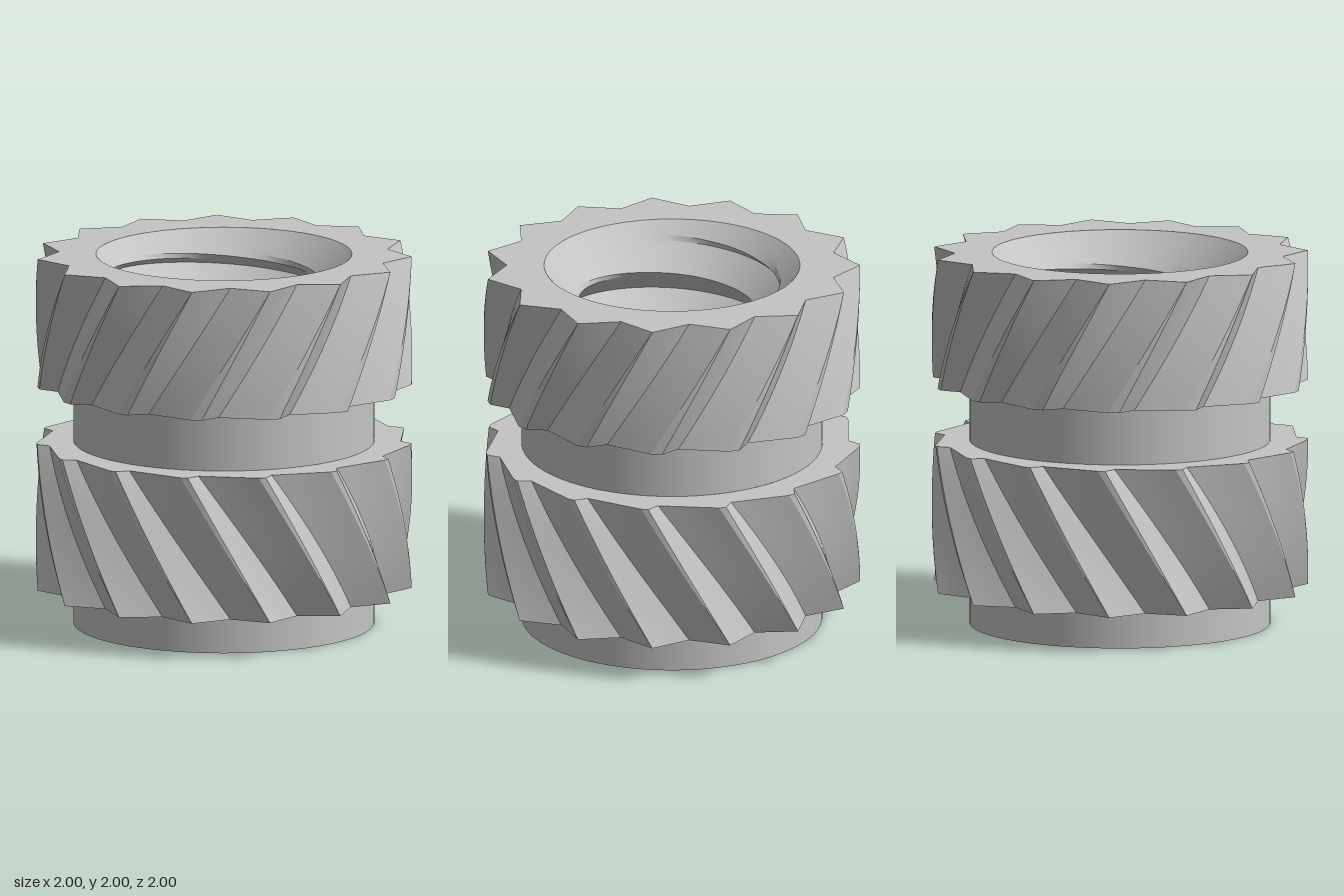
import * as THREE from 'three';
import { toCreasedNormals } from 'three/addons/utils/BufferGeometryUtils.js';

const TEETH = 15;
const rad = THREE.MathUtils.degToRad;
const lerp = THREE.MathUtils.lerp;

// Joins rows of [x, y, z] points into a surface; flip turns it inward
function loft(rows, flip = false) {
  const n = rows[0].length, index = [];
  for (let i = 0; i < rows.length - 1; i++) {
    for (let j = 0; j < n - 1; j++) {
      const a = i * n + j, b = a + 1, d = a + n, c = d + 1;
      if (flip) index.push(a, c, b, a, d, c);
      else index.push(a, b, c, a, c, d);
    }
  }
  const g = new THREE.BufferGeometry();
  g.setAttribute('position', new THREE.Float32BufferAttribute(rows.flat(2), 3));
  g.setIndex(index);
  return toCreasedNormals(g, 0.3);
}

// Outline of the knurl at height y: u = 0 is the full star, u = 1 the shallow end
function knurlOutline(y, u, end) {
  const pts = [];
  for (let k = 0; k <= TEETH; k++) {
    const base = 24 * k;
    const corners = [
      [lerp(-12, end.left, u), 1],
      [lerp(0, end.valley, u), lerp(0.878, end.depth, u)],
      [lerp(12, end.right, u), 1],
    ].map(([deg, r]) => [Math.sin(rad(base + deg)) * r, Math.cos(rad(base + deg)) * r]);
    for (let s = 0; s < 2; s++) {
      for (let m = s; m <= 4; m++) {
        const p = corners[s], q = corners[s + 1];
        pts.push([lerp(p[0], q[0], m / 4), y, lerp(p[1], q[1], m / 4)]);
        if (k === TEETH) return pts; // close the loop on the first point
      }
    }
  }
  return pts;
}

// Moves an outline to a circle, making a flat end face
const toCircle = (pts, r) => pts.map(([x, y, z]) => {
  const l = Math.hypot(x, z);
  return [x / l * r, y, z / l * r];
});

function knurlRing(yStar, yEnd, end, holeLow, holeHigh) {
  const steps = 12, rows = [];
  for (let i = 0; i <= steps; i++) {
    const t = i / steps;
    const u = yStar > yEnd ? 1 - t : t;
    rows.push(knurlOutline(lerp(yStar, yEnd, u), u, end));
  }
  rows.unshift(toCircle(rows[0], holeLow));
  rows.push(toCircle(rows[rows.length - 1], holeHigh));
  return loft(rows);
}

// Rows of a right-hand V thread with 45 degree flanks and a countersunk mouth
function threadRows() {
  const pitch = 0.268, major = 0.6, topRoot = 1.92, cols = 96, perPitch = 10;
  const rows = [];
  for (let i = -9 * perPitch; i <= perPitch; i++) {
    const row = [];
    for (let j = 0; j <= cols; j++) {
      const turn = j / cols, a = turn * Math.PI * 2;
      const y = THREE.MathUtils.clamp(topRoot + (i / perPitch + turn) * pitch, 0, 2);
      const s = (y - topRoot) / pitch - turn;
      const r = Math.max(major - Math.abs(s - Math.round(s)) * pitch, y - 1.32);
      row.push([Math.sin(a) * r, y, Math.cos(a) * r]);
    }
    rows.push(row);
  }
  return rows;
}

export function createModel() {
  const group = new THREE.Group();
  const metal = new THREE.MeshStandardMaterial({ color: 0xc4c4c4 });
  metal.name = 'grey metal';
  const add = (name, geometry, y = 0) => {
    const mesh = new THREE.Mesh(geometry, metal);
    mesh.name = name;
    mesh.position.y = y;
    group.add(mesh);
  };

  // Smooth collars below and between the knurls
  add('pilotCollar', new THREE.CylinderGeometry(0.8, 0.8, 0.2, 96, 1, true), 0.1);
  add('waist', new THREE.CylinderGeometry(0.8, 0.8, 0.315, 96, 1, true), 1.1475);

  // Two helical knurls of opposite twist
  add('upperKnurl', knurlRing(2, 1.305,
    { left: -33, valley: -28, right: -12.5, depth: 0.92 }, 0.8, 0.68));
  add('lowerKnurl', knurlRing(0.2, 0.99,
    { left: -37.3, valley: -34.5, right: -15.5, depth: 0.94 }, 0.8, 0.8));

  // Threaded bore, and the flat bottom face around its opening
  const bore = threadRows();
  add('threadedBore', loft(bore, true));
  add('bottomFace', loft([bore[0], toCircle(bore[0], 0.8)]));
  return group;
}
